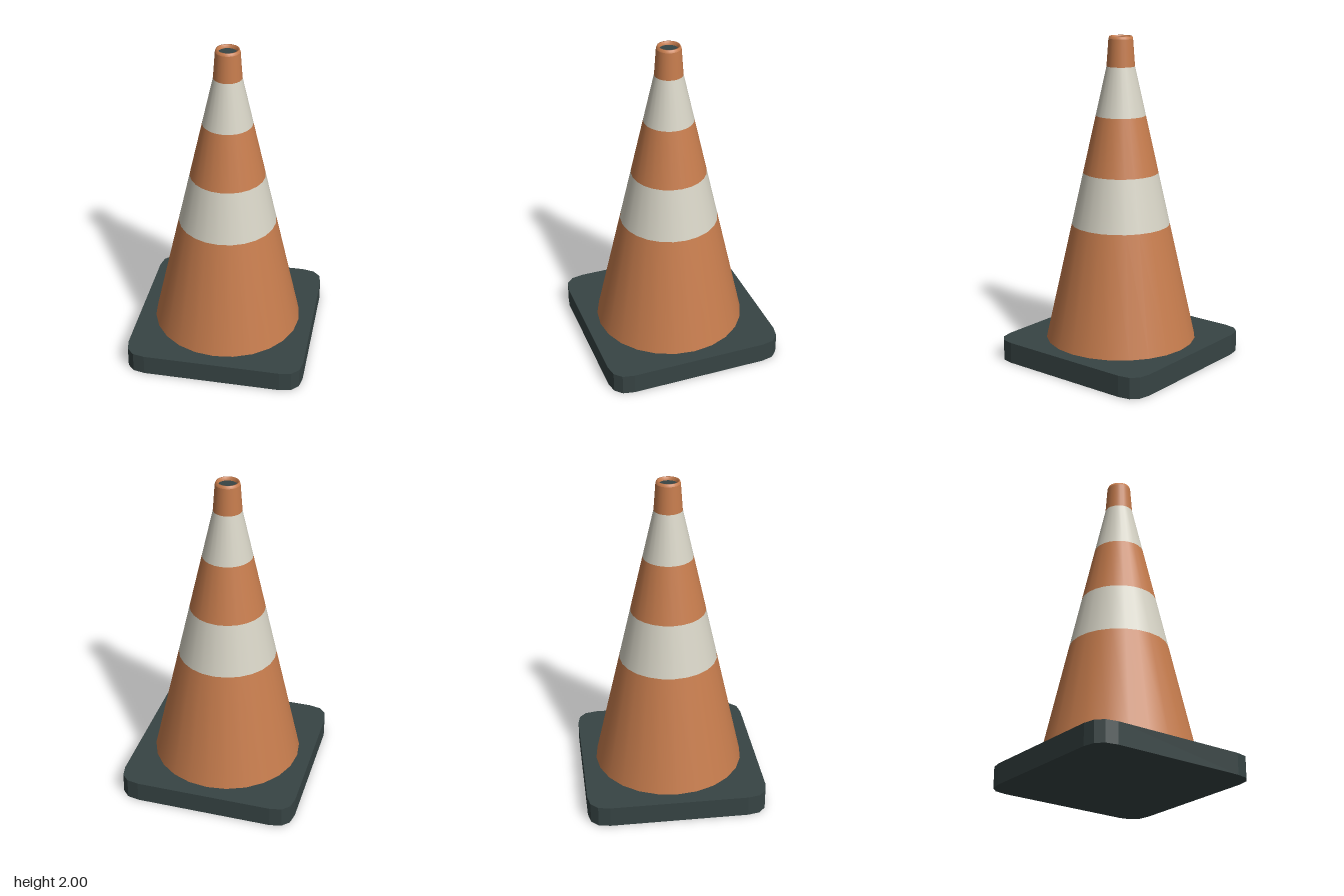
import * as THREE from 'three';

const SIDES = 24;

export function createModel() {
  const mat = (name, color) => {
    const m = new THREE.MeshStandardMaterial({ color });
    m.name = name;
    return m;
  };
  const orange = mat('orange plastic', 0xc67c4d);
  const white = mat('reflective white', 0xd6d3c5);
  const dark = mat('dark rubber', 0x374444);

  const model = new THREE.Group();
  model.name = 'trafficCone';
  const add = (name, geometry, material) => {
    const mesh = new THREE.Mesh(geometry, material);
    mesh.name = name;
    model.add(mesh);
    return mesh;
  };
  // Turned part from [radius, height] pairs, listed from the bottom up
  const turned = (name, profile, material) =>
    add(name, new THREE.LatheGeometry(profile.map(([r, y]) => new THREE.Vector2(r, y)), SIDES), material);

  // Square foot with rounded corners
  const h = 0.555, c = 0.425, thickness = 0.13;
  const foot = new THREE.Shape();
  foot.moveTo(-c, -h);
  foot.lineTo(c, -h);
  foot.quadraticCurveTo(h, -h, h, -c);
  foot.lineTo(h, c);
  foot.quadraticCurveTo(h, h, c, h);
  foot.lineTo(-c, h);
  foot.quadraticCurveTo(-h, h, -h, c);
  foot.lineTo(-h, -c);
  foot.quadraticCurveTo(-h, -h, -c, -h);
  const footGeometry = new THREE.ExtrudeGeometry(foot, { depth: thickness, bevelEnabled: false, curveSegments: 3 });
  footGeometry.rotateX(-Math.PI / 2);
  add('base', footGeometry, dark);

  // Tapered body, cut into alternating colour bands
  const bottom = [0.466, thickness], top = [0.086, 1.82];
  const radiusAt = (y) => THREE.MathUtils.mapLinear(y, bottom[1], top[1], bottom[0], top[0]);
  const levels = [thickness, 0.855, 1.175, 1.525, 1.82];
  const names = ['lowerBody', 'lowerStripe', 'upperBody', 'upperStripe'];
  names.forEach((name, i) => {
    const [y0, y1] = [levels[i], levels[i + 1]];
    turned(name, [[radiusAt(y0), y0], [radiusAt(y1), y1]], i % 2 ? white : orange);
  });

  // Neck and softened rim
  turned('neck', [[0.086, 1.82], [0.074, 1.985]], orange);
  turned('rim', [[0.074, 1.985], [0.068, 2], [0.06, 2], [0.055, 1.98]], orange);

  // Dark opening inside the rim
  const opening = add('opening', new THREE.CircleGeometry(0.055, SIDES), dark);
  opening.rotation.x = -Math.PI / 2;
  opening.position.y = 1.98;

  return model;
}
